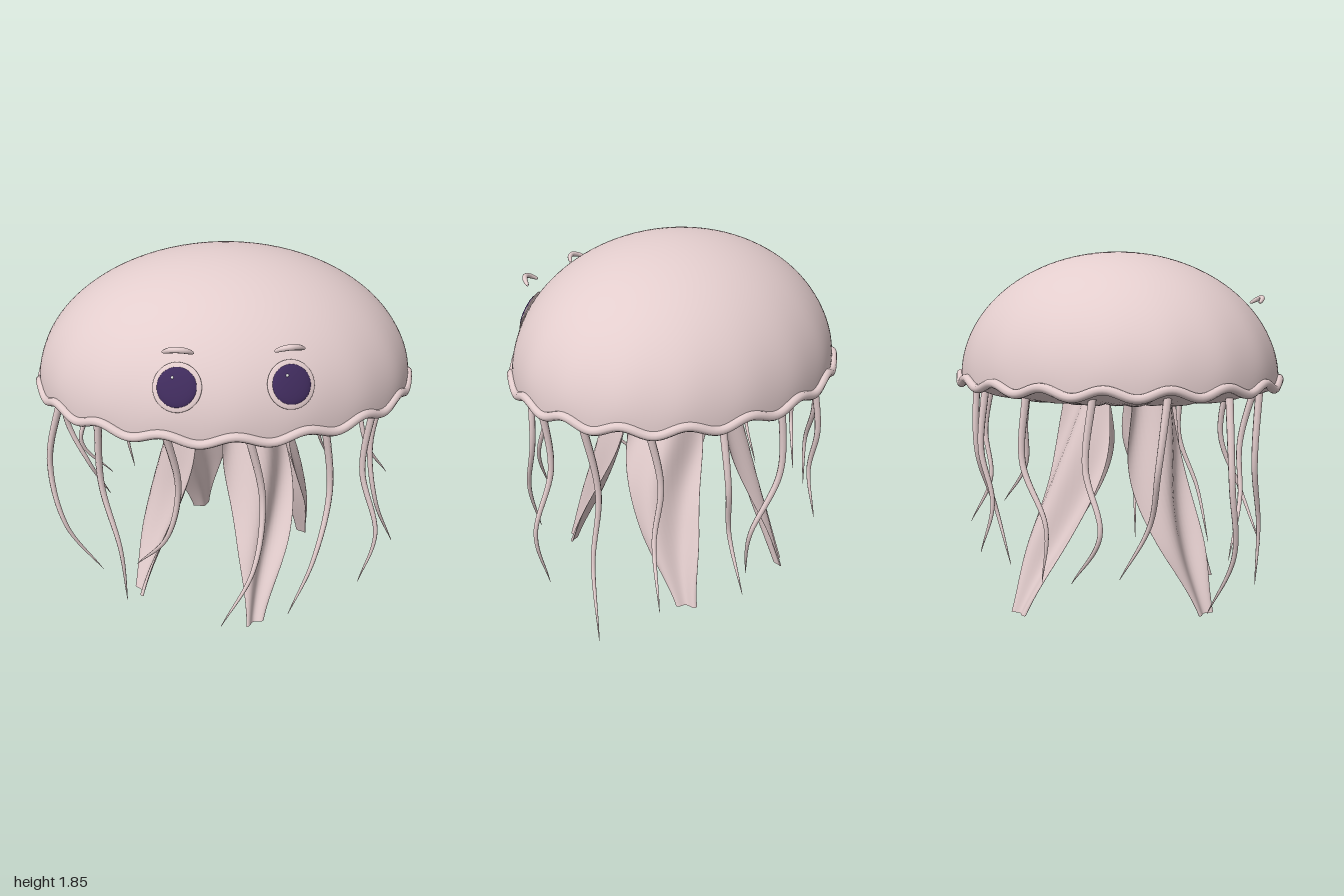
import * as THREE from 'three';
import { mergeVertices } from 'three/addons/utils/BufferGeometryUtils.js';

const V = (x, y, z) => new THREE.Vector3(x, y, z);
const CX = -0.008, CZ = -0.022, BASE = 1.195, TAU = Math.PI * 2;
const RX = 0.96, RY = 0.655, RZ = 0.804;

// vertical ripple of the rim
const wave = (a) => 0.019 * Math.cos(18 * a);

// point on a horizontal ellipse; angle 0 faces the front
const onEllipse = (a, rx, rz, y) => V(CX + rx * Math.sin(a), y, CZ + rz * Math.cos(a));

// smooth curve through (position, value) pairs
const profile = (pairs) => new THREE.SplineCurve(pairs.map(([a, b]) => new THREE.Vector2(a, b)));

// smooth surface from a rule fn(u, v) -> Vector3
function surface(nu, nv, fn) {
  let g = new THREE.PlaneGeometry(1, 1, nu, nv);
  const p = g.attributes.position, uv = g.attributes.uv;
  for (let i = 0; i < p.count; i++) {
    const q = fn(uv.getX(i), uv.getY(i));
    p.setXYZ(i, q.x, q.y, q.z);
  }
  g.deleteAttribute('uv');
  g.deleteAttribute('normal');
  g = mergeVertices(g, 1e-5);
  g.computeVertexNormals();
  return g;
}

// tube whose radius follows taper(t)
function taperedTube(points, radius, segs, sides, taper) {
  const curve = new THREE.CatmullRomCurve3(points);
  const g = new THREE.TubeGeometry(curve, segs, radius, sides);
  const p = g.attributes.position, v = V(0, 0, 0);
  for (let i = 0; i <= segs; i++) {
    const c = curve.getPointAt(i / segs);
    for (let j = 0; j <= sides; j++) {
      const k = i * (sides + 1) + j;
      v.fromBufferAttribute(p, k).sub(c).multiplyScalar(taper(i / segs)).add(c);
      p.setXYZ(k, v.x, v.y, v.z);
    }
  }
  return g;
}

export function createModel() {
  const group = new THREE.Group();
  const mat = (name, color) => {
    const m = new THREE.MeshStandardMaterial({ color, side: THREE.DoubleSide });
    m.name = name;
    return m;
  };
  const skin = mat('paleRose', 0xe3cdcd);
  const purple = mat('darkPurple', 0x3f2b5c);
  const white = mat('white', 0xffffff);
  const add = (name, geo, material, parent = group) => {
    const m = new THREE.Mesh(geo, material);
    m.name = name;
    parent.add(m);
    return m;
  };

  // bell: half ellipsoid whose lower edge follows the ripple
  add('bell', surface(160, 32, (u, v) => {
    const a = u * TAU, e = v * Math.PI / 2, r = Math.cos(e);
    return onEllipse(a, RX * r, RZ * r, BASE + RY * Math.sin(e) + wave(a) * (1 - v) ** 8);
  }), skin);

  // rippled rim
  const rim = [];
  for (let i = 0; i < 160; i++) {
    const a = i / 160 * TAU;
    rim.push(onEllipse(a, RX, RZ + 0.006, BASE + wave(a)));
  }
  add('rim', new THREE.TubeGeometry(new THREE.CatmullRomCurve3(rim, true), 320, 0.022, 10, true), skin);

  // underside with shallow creased pleats
  const under = profile([[0, 1.15], [0.3, 1.13], [0.6, 1.105], [0.85, 1.135], [1, 1.19]]);
  add('underside', surface(240, 16, (u, v) => {
    const a = u * TAU, q = under.getPoint(1 - v), s = q.x;
    const pleat = 0.01 * (1 - Math.abs(Math.cos(20 * a))) * Math.min(1, s * 4) * (1 - s ** 6);
    return onEllipse(a, (RX - 0.005) * s, (RZ - 0.005) * s, q.y + pleat + wave(a) * s ** 6);
  }), skin);

  // four broad ruffled arms: top, middle and foot of each centre line
  const widths = profile([[0, 0.31], [0.35, 0.4], [0.66, 0.32], [1, 0.11]]);
  const arms = [
    [[0.09, 1.14, 0.22], [0.18, 0.62, 0.33], [0.11, 0, 0.58]],
    [[0.23, 1.14, -0.09], [0.36, 0.6, -0.11], [0.47, 0, -0.29]],
    [[-0.24, 1.14, 0.08], [-0.34, 0.58, 0.13], [-0.49, 0, 0.27]],
    [[-0.1, 1.14, -0.22], [-0.15, 0.6, -0.37], [-0.12, 0, -0.605]],
  ];
  for (const pts of arms) {
    const curve = new THREE.CatmullRomCurve3(pts.map((p) => V(...p)));
    const out = V(pts[1][0], 0, pts[1][2]).normalize();
    const across = V(out.z, 0, -out.x);
    add('broadArm', surface(48, 40, (u, v) => {
      const t = 1 - v, a = u * TAU, w = widths.getPoint(t).y / 2;
      const s = Math.cos(a);
      const fold = w * 0.22 * Math.sin(3.6 * s + 5 * t);
      return curve.getPoint(t)
        .addScaledVector(across, w * s)
        .addScaledVector(out, fold + 0.011 * Math.sin(a));
    }), skin);
  }

  // thin tentacles evenly around the rim: x of two bends, then the tip
  const tentacles = [
    [0.13, 0.08, -0.08, 0.2, 0.85], [0.47, 0.39, 0.27, 0.14, 0.7],
    [0.68, 0.76, 0.69, 0.1, 0.4], [0.79, 0.84, 0.98, 0.06, -0.04],
    [0.79, 0.84, 1, 0.34, -0.37], [0.66, 0.6, 0.68, 0.31, -0.66],
    [0.3, 0.38, 0.27, 0.14, -0.54], [-0.1, -0.14, -0.1, 0.34, -0.8],
    [-0.45, -0.57, -0.54, 0.29, -0.62], [-0.74, -0.84, -0.67, 0.31, -0.52],
    [-0.88, -0.77, -0.67, 0.3, -0.28], [-0.94, -0.88, -0.7, 0.08, 0.17],
    [-0.65, -0.57, -0.55, 0.14, 0.53], [-0.27, -0.33, -0.5, 0.27, 0.4],
  ];
  tentacles.forEach(([x1, x2, x, y, z], i) => {
    const top = onEllipse(0.075 + i / tentacles.length * TAU, 0.87, 0.73, 1.19);
    const tip = V(x, y, z);
    const bend = (bx, f, sway) => V(bx, THREE.MathUtils.lerp(top.y, y, f),
      THREE.MathUtils.lerp(top.z, z, f * f) + sway);
    add('tentacle', taperedTube([top, bend(x1, 0.38, -0.03), bend(x2, 0.7, 0.03), tip], 0.02, 40, 8,
      (t) => Math.max(0.04, 1 - 0.55 * t - 0.4 * t ** 6)), skin);
  });

  // face: soft socket, eye, glint and brow on each side
  for (const s of [-1, 1]) {
    const eye = new THREE.Group();
    eye.name = s > 0 ? 'leftEye' : 'rightEye';
    const dx = 0.255 * s, dy = 0.232;
    const dz = RZ * Math.sqrt(1 - (dx / RX) ** 2 - (dy / RY) ** 2);
    eye.position.set(CX + dx, BASE + dy, CZ + dz);
    eye.lookAt(eye.position.clone().add(V(dx / RX ** 2, dy / RY ** 2, dz / RZ ** 2)));
    group.add(eye);

    add('socket', new THREE.SphereGeometry(0.113, 40, 20), skin, eye).scale.z = 0.13;
    const ball = add('eyeball', new THREE.SphereGeometry(0.092, 40, 20), purple, eye);
    ball.scale.z = 0.2;
    ball.position.z = 0.006;
    const glint = add('glint', new THREE.SphereGeometry(0.007, 10, 8), white, eye);
    glint.position.set(-0.02, 0.042, 0.021);

    // brow arch, its outer end curving back with the bell
    const bx = CX + 0.247 * s;
    const arch = [-2, -1, 0, 1, 2].map((k) => V(bx + 0.034 * k * s,
      1.612 - 0.007 * k * k, 0.715 - 0.01 * k * k - 0.006 * k));
    add('brow', taperedTube(arch, 0.014, 24, 10,
      (t) => 0.3 + 0.7 * Math.max(0, Math.sin(Math.PI * t)) ** 0.5), skin);
  }
  return group;
}
